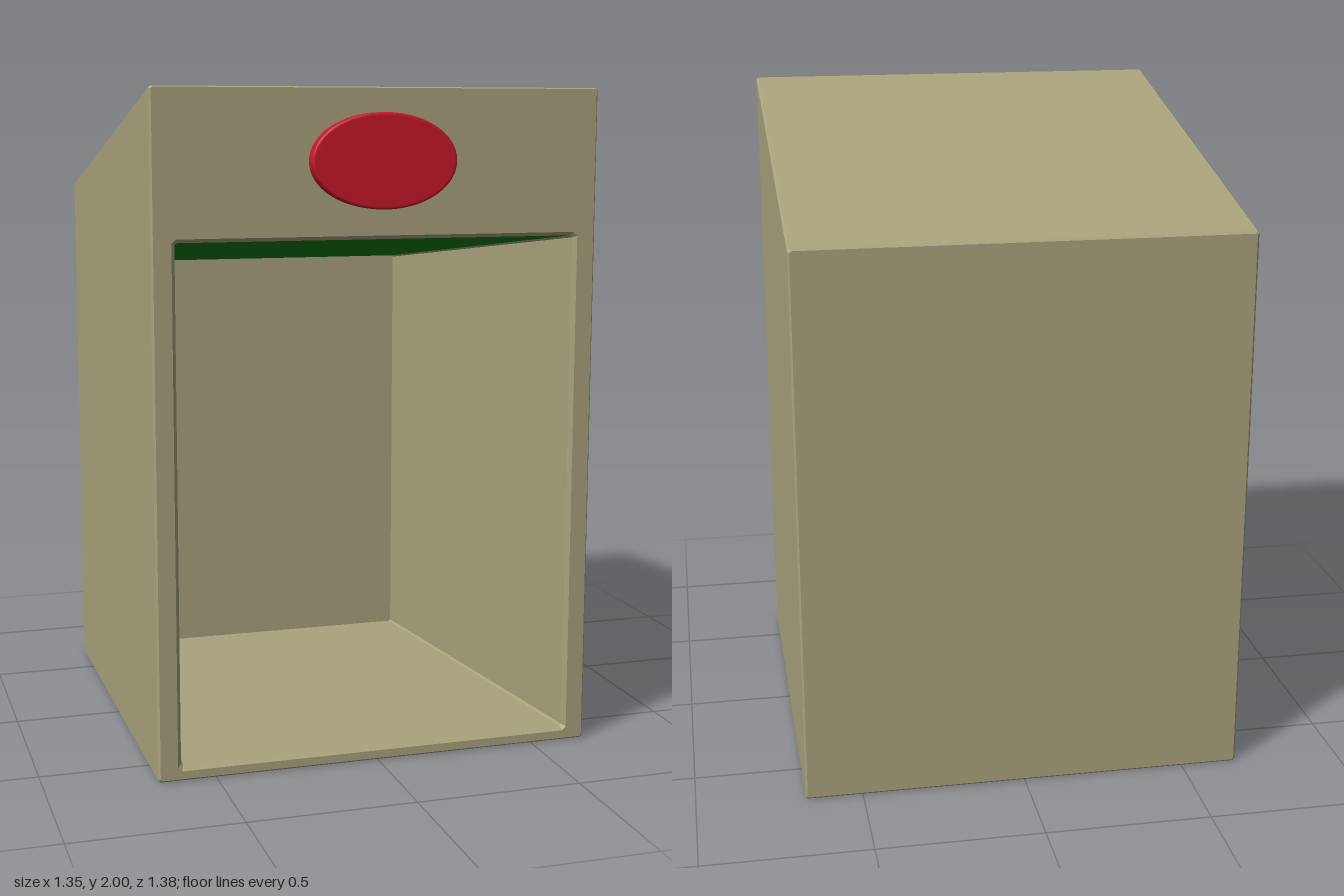
import * as THREE from 'three';

// Eight-point rectangle with chamfered corners, counter-clockwise seen from +z
const ring = (hx, y0, y1, z, c) => [
  [-hx + c, y0, z], [hx - c, y0, z], [hx, y0 + c, z], [hx, y1 - c, z],
  [hx - c, y1, z], [-hx + c, y1, z], [-hx, y1 - c, z], [-hx, y0 + c, z],
];

// Joins successive rings with flat strips; keep(i, j) selects strips
function loft(rings, keep) {
  const pos = [];
  for (let i = 0; i < rings.length - 1; i++) {
    for (let j = 0; j < 8; j++) {
      if (!keep(i, j)) continue;
      const k = (j + 1) % 8;
      const a = rings[i][j], b = rings[i][k], c = rings[i + 1][k], d = rings[i + 1][j];
      pos.push(...a, ...b, ...c, ...a, ...c, ...d);
    }
  }
  const geo = new THREE.BufferGeometry();
  geo.setAttribute('position', new THREE.Float32BufferAttribute(pos, 3));
  geo.computeVertexNormals();
  return geo;
}

export function createModel() {
  const model = new THREE.Group();
  const add = (name, geo, color, flatShading) => {
    const mesh = new THREE.Mesh(geo, new THREE.MeshStandardMaterial({ color, flatShading }));
    mesh.name = name;
    model.add(mesh);
    return mesh;
  };

  // Sloped-roof housing: back, outer walls, front frame, then the tapering recess
  const rings = [
    ring(0, 0.85, 0.85, -0.69, 0),
    ring(0.667, 0.006, 1.685, -0.69, 0.005),
    ring(0.673, 0, 1.693, -0.684, 0.006),
    ring(0.673, 0, 1.998, 0.646, 0.006),
    ring(0.667, 0.006, 1.995, 0.654, 0.005),
    ring(0.615, 0.03, 1.577, 0.654, 0.012),
    ring(0.604, 0.042, 1.566, 0.642, 0.006),
    ring(0.461, 0.052, 1.422, -0.57, 0.005),
    ring(0, 0.75, 0.75, -0.57, 0),
  ];
  const isCeiling = (i, j) => i === 6 && j === 4;
  add('housing', loft(rings, (i, j) => !isCeiling(i, j)), 0xa9a37c, true);
  add('recessCeiling', loft(rings, isCeiling), 0x0a7f0a, true);

  // Oval badge above the opening
  const oval = new THREE.Shape().absellipse(0, 0, 0.209, 0.129, 0, Math.PI * 2);
  const badge = add('ovalBadge', new THREE.ExtrudeGeometry(oval, {
    depth: 0.04, bevelSize: 0.008, bevelThickness: 0.006, bevelSegments: 3, curveSegments: 64,
  }), 0xc8182a, false);
  badge.position.set(0, 1.79, 0.647);

  return model;
}
